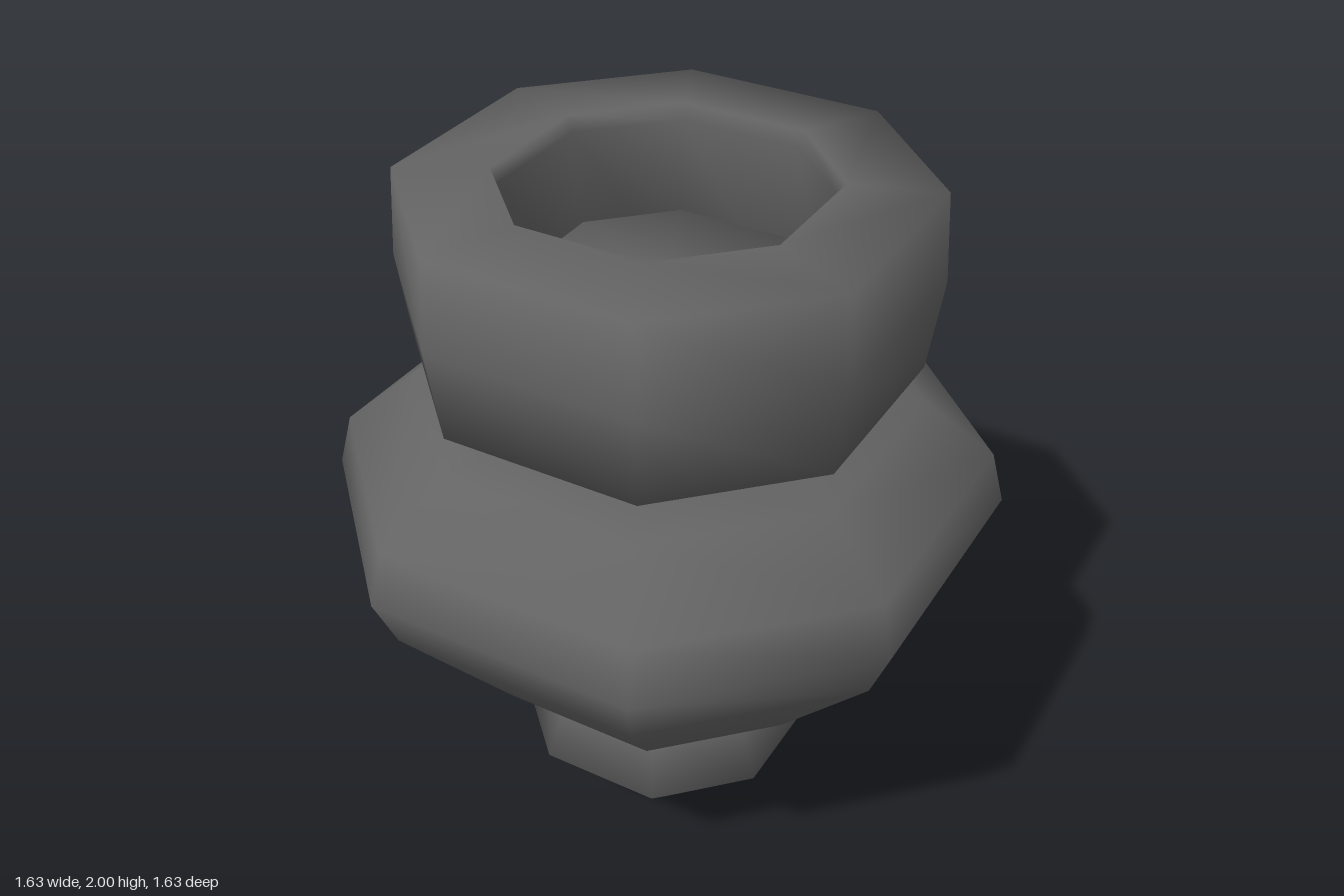
import * as THREE from 'three';
import { mergeVertices } from 'three/addons/utils/BufferGeometryUtils.js';

const SIDES = 8;
const HALF = Math.PI / SIDES;

// Turns a [radius, height] profile into a smooth-shaded eight-sided solid.
// Radius is measured to the middle of the front, back and side faces.
function turned(name, profile, material) {
  const points = profile.map(([r, y]) => new THREE.Vector2(r, y));
  let geometry = new THREE.LatheGeometry(points, SIDES, HALF);
  geometry.deleteAttribute('uv');
  geometry.deleteAttribute('normal');

  // push the four main faces out a little, leaving longer diagonal faces
  const p = geometry.attributes.position;
  for (let i = 0; i < p.count; i++) {
    const x = p.getX(i), z = p.getZ(i);
    if (Math.abs(x) > Math.abs(z)) p.setX(i, x / Math.cos(HALF));
    else p.setZ(i, z / Math.cos(HALF));
  }
  geometry = mergeVertices(geometry, 1e-4);
  geometry.computeVertexNormals();

  const mesh = new THREE.Mesh(geometry, material);
  mesh.name = name;
  return mesh;
}

export function createModel() {
  const group = new THREE.Group();
  group.name = 'turnedOrnament';
  const darkGrey = new THREE.MeshStandardMaterial({ color: 0x646464 });
  darkGrey.name = 'darkGrey';

  group.add(
    // pointed foot
    turned('tip', [
      [0, 0], [0.065, 0], [0.38, 0.35], [0.315, 0.535], [0, 0.535],
    ], darkGrey),

    // post joining the foot to the body
    turned('lowerNeck', [
      [0, 0.5], [0.26, 0.5], [0.268, 0.72], [0, 0.72],
    ], darkGrey),

    // wide hollow body
    turned('body', [
      [0.29, 0.637], [0.475, 0.635], [0.76, 0.99], [0.815, 1.13], [0.78, 1.27],
      [0.605, 1.42], [0.385, 1.432], [0.37, 1.4], [0.29, 0.637],
    ], darkGrey),

    // post rising into the hole of the top ring
    turned('upperNeck', [
      [0, 1.2], [0.285, 1.2], [0.315, 1.52], [0.338, 1.73], [0, 1.73],
    ], darkGrey),

    // thick ring at the top
    turned('topRing', [
      [0.36, 1.525], [0.595, 1.52], [0.625, 1.76], [0.61, 1.99],
      [0.388, 2], [0.375, 1.96], [0.36, 1.525],
    ], darkGrey),
  );
  return group;
}
